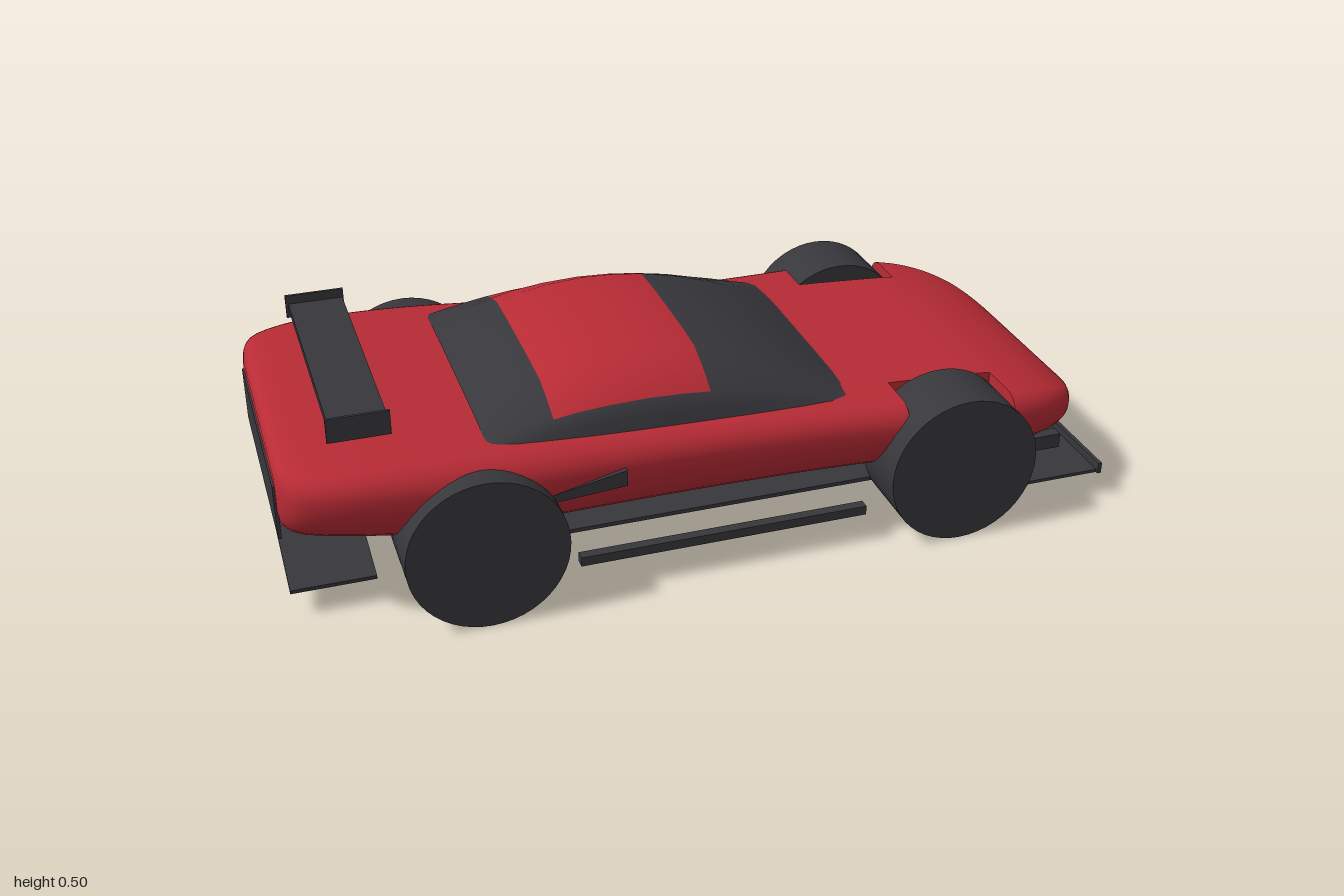
import * as THREE from 'three';
import { toCreasedNormals } from 'three/addons/utils/BufferGeometryUtils.js';

const red = new THREE.MeshStandardMaterial({ color: 0xb82b35 });
red.name = 'red paint';
const dark = new THREE.MeshStandardMaterial({ color: 0x37373c });
dark.name = 'dark trim';

// Skin a list of rings; isRed(i, j) chooses the material group of each quad.
function loft(rings, isRed) {
  const n = rings[0].length, groups = [[], []];
  for (let i = 0; i < rings.length - 1; i++) {
    for (let j = 0; j < n - 1; j++) {
      const a = i * n + j, b = a + n, c = b + 1, d = a + 1;
      groups[isRed(i, j) ? 0 : 1].push(a, d, b, b, d, c);
    }
  }
  const g = new THREE.BufferGeometry();
  g.setAttribute('position', new THREE.Float32BufferAttribute(rings.flat(2), 3));
  g.setIndex(groups.flat());
  g.addGroup(0, groups[0].length, 0);
  g.addGroup(groups[0].length, groups[1].length, 1);
  g.computeVertexNormals();
  return g;
}

// Body stations: x, half width, top, bottom
const STATIONS = [
  [-0.995, 0.3, 0.36, 0.195], [-0.985, 0.345, 0.382, 0.175], [-0.95, 0.388, 0.393, 0.16],
  [-0.85, 0.42, 0.398, 0.145], [-0.72, 0.432, 0.396, 0.125], [-0.58, 0.436, 0.39, 0.115],
  [-0.42, 0.43, 0.38, 0.108], [-0.25, 0.415, 0.37, 0.103], [-0.05, 0.406, 0.362, 0.1],
  [0.15, 0.406, 0.355, 0.1], [0.32, 0.412, 0.35, 0.1], [0.48, 0.424, 0.344, 0.1],
  [0.62, 0.428, 0.336, 0.1], [0.73, 0.424, 0.327, 0.1], [0.82, 0.402, 0.306, 0.104],
  [0.89, 0.36, 0.28, 0.111], [0.94, 0.3, 0.252, 0.123], [0.98, 0.185, 0.218, 0.148],
  [1, 0.01, 0.187, 0.178],
];
const NOTCH = [0.45, 0.451, 0.72, 0.721];

function bodySection([x, w, top, bottom]) {
  const r = Math.min((top - bottom) * 0.22, w * 0.6), m = top - r;
  const half = [[0, top], [(w - r) * 0.5, top]];
  for (let k = 0; k <= 6; k++) { // rounded shoulder
    const a = (1 - k / 6) * Math.PI / 2;
    half.push([w - r + r * Math.cos(a), m + r * Math.sin(a)]);
  }
  for (let k = 1; k <= 12; k++) { // tucked-under flank and belly
    const a = k / 12 * Math.PI / 2, e = 2 / 2.3;
    half.push([w * Math.max(0, Math.cos(a)) ** e, m - (m - bottom) * Math.sin(a) ** e]);
  }
  // front wheel wells
  const inNotch = x > 0.4505 && x < 0.7205;
  const pts = half.map(([z, y]) => [x, y, inNotch ? Math.min(z, 0.285) : z]);
  const mirrored = pts.slice(0, -1).reverse().map(([px, y, z]) => [px, y, -z]);
  return [...pts, ...mirrored];
}

function bodyGeometry() {
  const spline = (k) => new THREE.CatmullRomCurve3(
    STATIONS.map((s) => new THREE.Vector3(s[0], s[k], s[k + 1])), false, 'catmullrom');
  const upper = spline(1), lower = spline(2), stations = [];
  const count = (STATIONS.length - 1) * 3;
  for (let i = 0; i <= count; i++) {
    const p = upper.getPoint(i / count), q = lower.getPoint(i / count);
    stations.push([p.x, p.y, p.z, q.z]);
  }
  for (const x of NOTCH) {
    const i = stations.findIndex((s) => s[0] > x), a = stations[i - 1], b = stations[i];
    const t = (x - a[0]) / (b[0] - a[0]);
    stations.splice(i, 0, a.map((v, k) => v + (b[k] - v) * t));
  }
  const rings = stations.map(bodySection);
  const close = (ring, y) => ring.map((p) => [p[0], y, 0]);
  rings.unshift(close(rings[0], 0.28));
  rings.push(close(rings[rings.length - 1], 0.183));
  return toCreasedNormals(loft(rings, () => true), 0.7);
}

// Cabin: roof line (x, y) and a section given as fractions of width and height
const ROOF = [
  [-0.535, 0.392], [-0.5, 0.41], [-0.44, 0.437], [-0.38, 0.46], [-0.32, 0.478], [-0.25, 0.491],
  [-0.16, 0.498], [-0.08, 0.495], [-0.01, 0.486], [0.07, 0.469], [0.14, 0.447], [0.21, 0.421],
  [0.28, 0.387], [0.345, 0.349],
];
const CABIN = [[1, -0.05], [0.965, 0.22], [0.92, 0.5], [0.75, 0.77], [0.58, 0.96], [0.3, 0.995], [0, 1]];

function cabinGeometry() {
  const rings = ROOF.map(([x, y]) => {
    const t = (x + 0.535) / 0.88, base = 0.38 - 0.04 * t, w = 0.36 - 0.015 * t;
    const side = CABIN.map(([fz, fy]) => [x, base + (y - base) * fy, -w * fz]);
    return [...side, ...side.slice(0, -1).reverse().map(([px, py, z]) => [px, py, -z])];
  });
  return loft(rings, (i, j) => i >= 3 && i < 8 && j >= 2 && j < 10);
}

export function createModel() {
  const car = new THREE.Group();
  car.name = 'raceCar';
  const add = (name, geometry, material) => {
    const mesh = new THREE.Mesh(geometry, material);
    mesh.name = name;
    car.add(mesh);
    return mesh;
  };
  // Box given by its x, y and z limits
  const box = (name, x0, x1, y0, y1, z0, z1) => {
    const mesh = add(name, new THREE.BoxGeometry(x1 - x0, y1 - y0, z1 - z0), dark);
    mesh.position.set((x0 + x1) / 2, (y0 + y1) / 2, (z0 + z1) / 2);
    return mesh;
  };

  add('body', bodyGeometry(), red);
  add('cabin', cabinGeometry(), [red, dark]);
  box('floor', -0.74, 0.75, 0.09, 0.1, -0.3, 0.3);
  box('tailPanel', -1, -0.992, 0.2, 0.335, -0.285, 0.285);

  // Front wing with upturned lip
  box('frontWing', 0.77, 0.985, 0.067, 0.075, -0.405, 0.405);
  box('frontWingLip', 0.975, 0.985, 0.067, 0.095, -0.412, 0.412);

  // Rear wing
  box('rearWing', -0.87, -0.74, 0.455, 0.476, -0.315, 0.315);

  // Diffuser, tilted across the car
  const diffuser = box('diffuser', -0.99, -0.795, 0.107, 0.117, -0.305, 0.305);
  diffuser.rotation.x = 0.15;

  const wheel = new THREE.CylinderGeometry(0.185, 0.185, 0.168, 48).rotateX(Math.PI / 2);
  const intake = new THREE.ExtrudeGeometry(new THREE.Shape([
    new THREE.Vector2(-0.42, 0.262), new THREE.Vector2(-0.24, 0.275),
    new THREE.Vector2(-0.24, 0.315), new THREE.Vector2(-0.42, 0.28),
  ]), { depth: 0.05, bevelEnabled: false }).translate(0, 0, -0.025);

  for (const s of [1, -1]) {
    const sideBox = (name, x0, x1, y0, y1, z0, z1) =>
      box(name, x0, x1, y0, y1, Math.min(s * z0, s * z1), Math.max(s * z0, s * z1));
    add('frontWheel', wheel, dark).position.set(0.573, 0.187, s * 0.391);
    add('rearWheel', wheel, dark).position.set(-0.571, 0.187, s * 0.391);
    add('sideIntake', intake, dark).position.z = s * 0.402;
    sideBox('sideSkirt', -0.35, 0.35, 0.077, 0.1, 0.395, 0.42);
    sideBox('noseDuct', 0.79, 0.88, 0.14, 0.177, 0.345, 0.375);
    sideBox('wingEndplate', -0.877, -0.737, 0.44, 0.498, 0.313, 0.32);
    sideBox('wingStrut', -0.8, -0.757, 0.385, 0.46, 0.192, 0.204);
  }
  return car;
}
